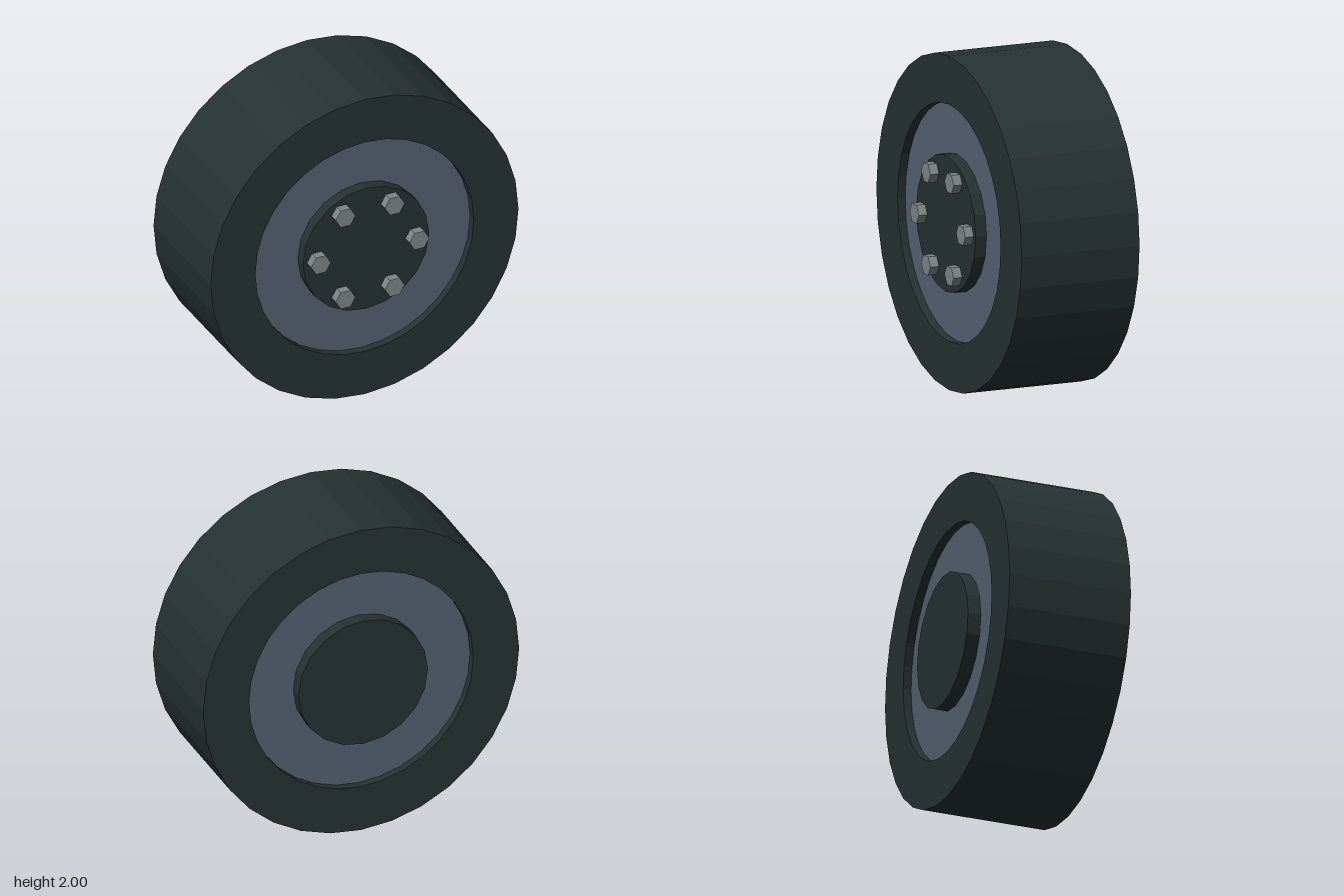
import * as THREE from 'three';

const rubber = new THREE.MeshStandardMaterial({ color: 0x263232 });
rubber.name = 'dark rubber';
const rimPaint = new THREE.MeshStandardMaterial({ color: 0x546172 });
rimPaint.name = 'blue grey rim';
const steel = new THREE.MeshStandardMaterial({ color: 0x7c8787 });
steel.name = 'grey steel';

// Faceted geometry turned so its axis runs along z
function faceted(geometry) {
  const flat = geometry.toNonIndexed();
  flat.computeVertexNormals();
  return flat.rotateX(Math.PI / 2);
}

// Solid disc between two z positions
function disc(name, radius, back, front, sides, material) {
  const geometry = faceted(new THREE.CylinderGeometry(radius, radius, front - back, sides));
  const mesh = new THREE.Mesh(geometry, material);
  mesh.name = name;
  mesh.position.z = (front + back) / 2;
  return mesh;
}

export function createModel() {
  const model = new THREE.Group();
  model.name = 'wheel';
  const wheel = new THREE.Group();
  wheel.name = 'wheelAssembly';
  wheel.position.y = 1;
  model.add(wheel);

  // Tyre: square-section ring
  const section = [[1, -0.4], [1, 0.36], [0.71, 0.36], [0.71, -0.4], [1, -0.4]]
    .map(([r, z]) => new THREE.Vector2(r, z));
  const tyre = new THREE.Mesh(faceted(new THREE.LatheGeometry(section, 32)), rubber);
  tyre.name = 'tyre';
  wheel.add(tyre);

  // Recessed rim and the hub passing through it
  wheel.add(disc('rim', 0.71, -0.35, 0.31, 32, rimPaint));
  wheel.add(disc('hub', 0.41, -0.43, 0.38, 20, rubber));

  // Six hexagonal bolts on the front of the hub
  for (let i = 0; i < 6; i++) {
    const angle = (i * Math.PI) / 3;
    const bolt = disc('bolt' + (i + 1), 0.064, 0.37, 0.435, 6, steel);
    bolt.position.x = 0.32 * Math.cos(angle);
    bolt.position.y = 0.32 * Math.sin(angle);
    bolt.rotation.z = Math.PI / 6; // corners point sideways
    wheel.add(bolt);
  }
  return model;
}
